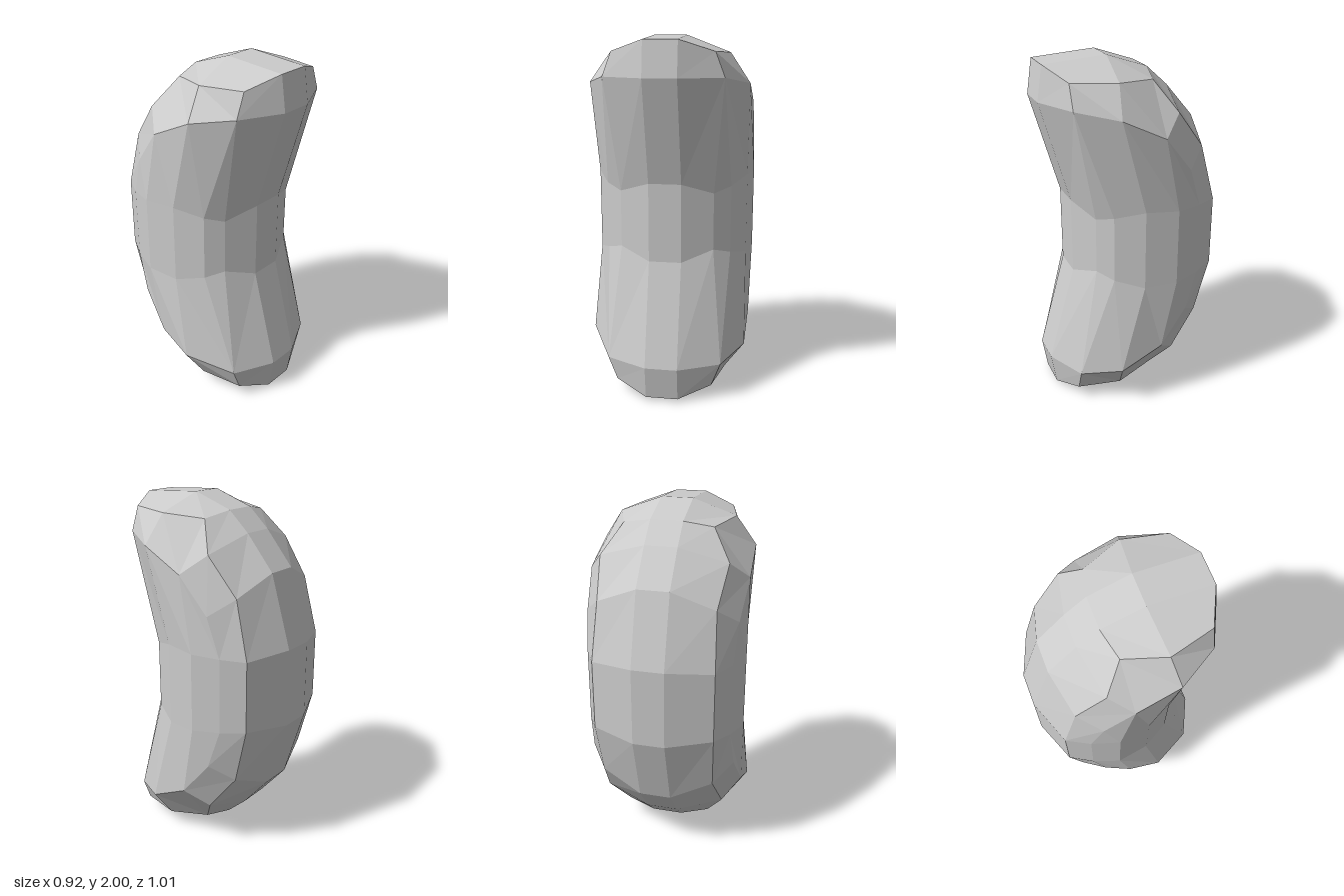
import * as THREE from 'three';

// Corners of one quarter of the bean (x >= 0, y >= 1); the rest is mirrored.
// Centre band, running from the hollow front over the top to the back.
const band = [
  [0.09, 1.22, 0.35], [0.09, 1.79, 0.51], [0.09, 1.98, 0.48], [0.09, 2.0, 0.13],
  [0.09, 1.92, -0.1], [0.09, 1.81, -0.22], [0.09, 1.62, -0.38], [0.09, 1.22, -0.5],
];
// Shoulder line beside the band, matching it corner for corner.
const shoulder = [
  [0.26, 1.16, 0.27], [0.32, 1.79, 0.4], [0.27, 1.92, 0.4], [0.33, 1.91, 0.16],
  [0.25, 1.89, -0.06], [0.355, 1.73, -0.165], [0.325, 1.52, -0.325], [0.34, 1.2, -0.405],
];
const [F, A, B, C, D, E, G, H] = shoulder;
// Flank: three corners of the upper ring and four of the waist ring.
const Q = [0.44, 1.75, 0.19], P = [0.45, 1.63, -0.05], S = [0.425, 1.43, -0.21];
const F1 = [0.35, 1.19, 0.2], M1 = [0.43, 1.23, 0.05], M2 = [0.46, 1.22, -0.13], M3 = [0.41, 1.21, -0.28];

function quarterFaces() {
  const faces = [
    [C, Q, P, D], [D, P, E], [E, P, S, G], [G, S, M3, H], [P, M2, M3, S],
    [Q, M1, M2, P], [B, A, Q, C], [A, F1, M1, Q], [A, F, F1],
  ];
  const middle = band.map(([, y, z]) => [0, y, z]);
  for (let i = 0; i < band.length - 1; i++) {
    faces.push([middle[i], band[i], band[i + 1], middle[i + 1]]);
    faces.push([band[i], shoulder[i], shoulder[i + 1], band[i + 1]]);
  }
  // Waist ring down to the middle height
  const waist = [middle[0], band[0], F, F1, M1, M2, M3, H, band[7], middle[7]];
  const level = ([x, , z]) => [x, 1, z];
  for (let i = 0; i < waist.length - 1; i++) {
    faces.push([waist[i], level(waist[i]), level(waist[i + 1]), waist[i + 1]]);
  }
  return faces;
}

export function createModel() {
  const positions = [];
  const faces = quarterFaces();
  for (const sx of [1, -1]) {
    for (const sy of [1, -1]) {
      // One lower corner bulges slightly on the right side
      const place = (p) => (p === Q && sx < 0 && sy < 0
        ? [-0.46, 0.29, 0.15]
        : [sx * p[0], 1 + sy * (p[1] - 1), p[2]]);
      for (const face of faces) {
        const corners = face.map(place);
        if (sx * sy < 0) corners.reverse();
        for (let i = 1; i < corners.length - 1; i++) {
          positions.push(...corners[0], ...corners[i], ...corners[i + 1]);
        }
      }
    }
  }
  const geometry = new THREE.BufferGeometry();
  geometry.setAttribute('position', new THREE.Float32BufferAttribute(positions, 3));
  geometry.computeVertexNormals();

  const bean = new THREE.Mesh(geometry, new THREE.MeshStandardMaterial({ color: 0xcccccc, flatShading: true }));
  bean.name = 'bean';
  const group = new THREE.Group();
  group.name = 'beanModel';
  group.add(bean);
  return group;
}
